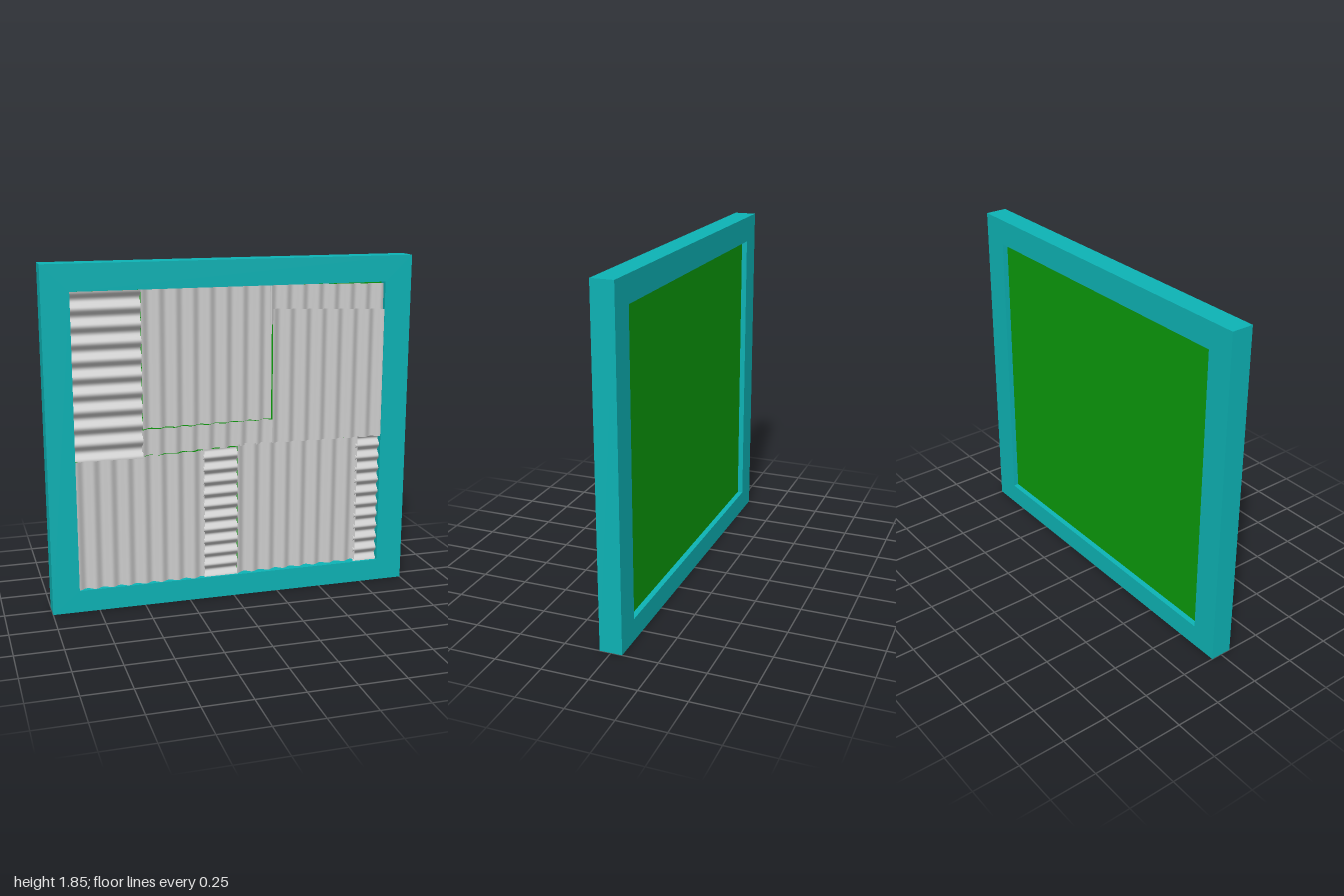
import * as THREE from 'three';

const LEFT = -0.855, RIGHT = 0.85, BOTTOM = 0.12, TOP = 1.71;

// Corrugated sheet; yb and yt are the [left, right] heights of its bottom and top edges.
function corrugatedSheet(name, x0, x1, yb, yt, z, period, horizontal, material) {
  const amp = 0.012;
  const length = horizontal ? Math.max(yt[0], yt[1]) - Math.min(yb[0], yb[1]) : x1 - x0;
  const n = Math.ceil(length / period * 12);
  const geo = new THREE.PlaneGeometry(1, 1, horizontal ? 1 : n, horizontal ? n : 1);
  const p = geo.attributes.position;
  for (let i = 0; i < p.count; i++) {
    const u = p.getX(i) + 0.5, v = p.getY(i) + 0.5;
    const x = THREE.MathUtils.lerp(x0, x1, u);
    const y = THREE.MathUtils.lerp(
      THREE.MathUtils.lerp(yb[0], yb[1], u),
      THREE.MathUtils.lerp(yt[0], yt[1], u), v);
    const along = horizontal ? y - yb[0] : x - x0;
    p.setXYZ(i, x, y, z + amp * Math.cos(along / period * Math.PI * 2));
  }
  geo.computeVertexNormals();
  const mesh = new THREE.Mesh(geo, material);
  mesh.name = name;
  return mesh;
}

export function createModel() {
  const group = new THREE.Group();
  group.name = 'framedCorrugatedPanel';
  const frameMat = new THREE.MeshStandardMaterial({ color: 0x0db3b5 });
  const backMat = new THREE.MeshStandardMaterial({ color: 0x0a9a0a });
  const sheetMat = new THREE.MeshStandardMaterial({ color: 0xcccccc, side: THREE.DoubleSide });

  // Frame with a rectangular opening
  const shape = new THREE.Shape();
  shape.moveTo(-1, 0).lineTo(1, 0).lineTo(1, 1.85).lineTo(-1, 1.85).closePath();
  const hole = new THREE.Path();
  hole.moveTo(LEFT, BOTTOM).lineTo(LEFT, TOP).lineTo(RIGHT, TOP).lineTo(RIGHT, BOTTOM).closePath();
  shape.holes.push(hole);
  const frame = new THREE.Mesh(
    new THREE.ExtrudeGeometry(shape, { depth: 0.12, bevelEnabled: false }).translate(0, 0, -0.06), frameMat);
  frame.name = 'frame';
  group.add(frame);

  // Backing board, recessed from the rear of the frame
  const board = new THREE.Mesh(new THREE.BoxGeometry(RIGHT - LEFT, TOP - BOTTOM, 0.035), backMat);
  board.position.set((LEFT + RIGHT) / 2, (TOP + BOTTOM) / 2, -0.0125);
  board.name = 'backingBoard';
  group.add(board);

  // Patchwork of sheets: name, x0, x1, bottom edge, top edge, z, rib spacing, horizontal ribs
  const sheets = [
    ['upperSideSheet', LEFT, -0.495, [0.83, 0.825], [TOP, TOP], 0.049, 0.088, true],
    ['upperMiddleSheet', -0.495, 0.21, [0.98, 0.99], [TOP, TOP], 0.044, 0.09, false],
    ['middleStrip', -0.5, 0.22, [0.83, 0.855], [0.972, 0.985], 0.034, 0.09, false],
    ['upperCornerStrip', 0.2, RIGHT, [1.5, 1.5], [TOP, 1.7], 0.034, 0.09, false],
    ['upperLargeSheet', 0.215, RIGHT, [0.855, 0.85], [1.585, 1.562], 0.046, 0.09, false],
    ['lowerFirstSheet', LEFT, -0.16, [BOTTOM, BOTTOM], [0.825, 0.838], 0.042, 0.09, false],
    ['lowerMiddleStrip', -0.165, 0.025, [BOTTOM, BOTTOM], [0.838, 0.842], 0.036, 0.068, true],
    ['lowerSecondSheet', 0.02, 0.72, [0.125, 0.13], [0.86, 0.852], 0.042, 0.09, false],
    ['lowerEdgeStrip', 0.71, RIGHT, [BOTTOM, BOTTOM], [0.852, 0.85], 0.034, 0.068, true],
  ];
  for (const s of sheets) group.add(corrugatedSheet(...s, sheetMat));
  return group;
}
